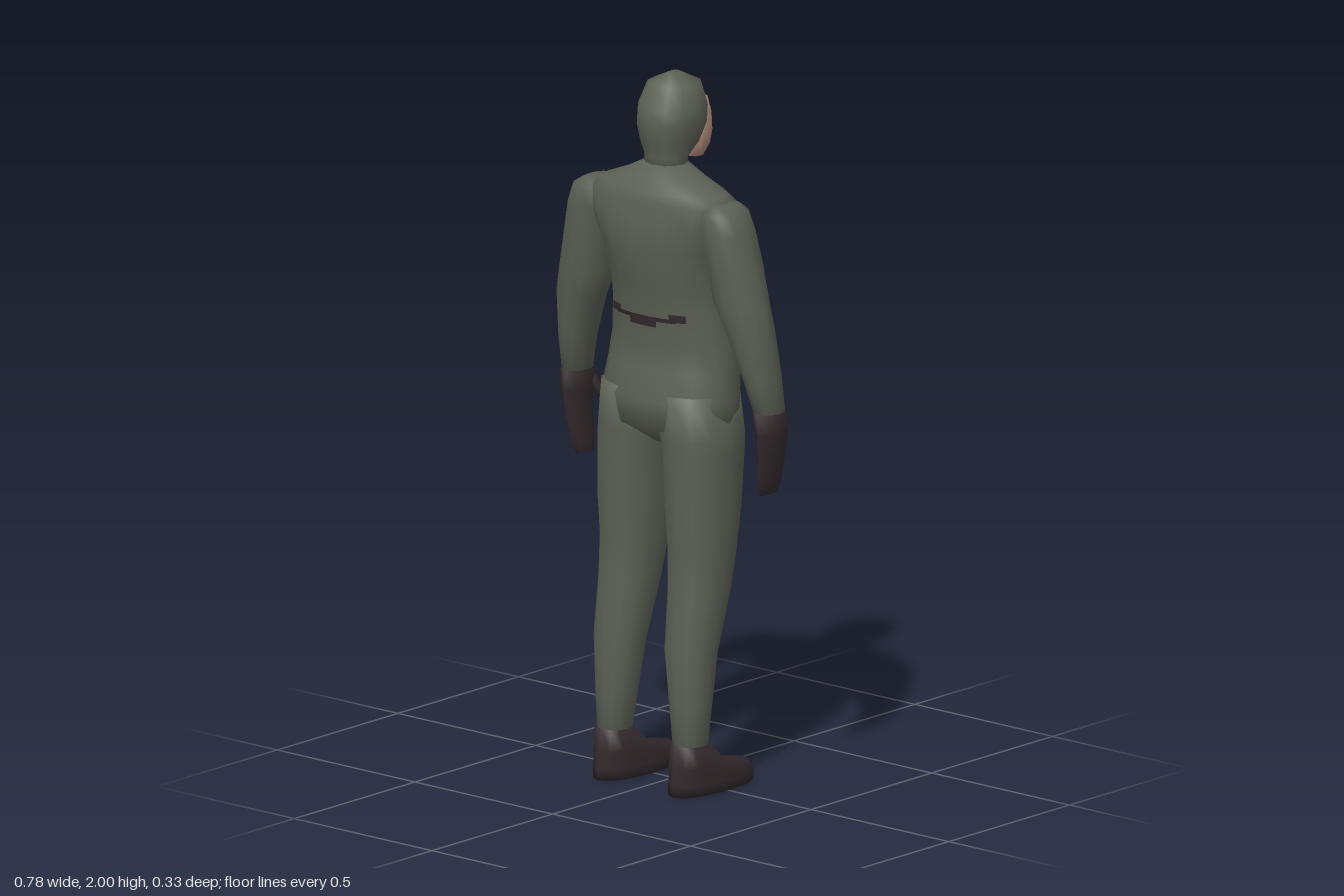
import * as THREE from 'three';

const suit = new THREE.MeshStandardMaterial({ color: 0x5c6054 });
suit.name = 'suit grey green';
const dark = new THREE.MeshStandardMaterial({ color: 0x332a2c });
dark.name = 'boot and glove dark';
const skin = new THREE.MeshStandardMaterial({ color: 0xb48f7d });
skin.name = 'skin';

// Loft through horizontal oval sections, listed from top to bottom.
// Row: [y, xMin, xMax, zBack, zFront, z of the widest point]
function loft(rows, { sides = 12, power = 0.92, from = 0, to = Math.PI * 2, caps = true } = {}) {
  const pos = [], index = [];
  const bend = (v) => Math.sign(v) * Math.abs(v) ** power;
  for (const [y, x0, x1, zB, zF, cz = (zB + zF) / 2] of rows) {
    for (let i = 0; i <= sides; i++) {
      const a = from + ((to - from) * i) / sides;
      const s = bend(Math.sin(a));
      pos.push((x0 + x1) / 2 + ((x1 - x0) / 2) * bend(Math.cos(a)), y, cz + s * (s > 0 ? zB - cz : cz - zF));
    }
  }
  // A closed ring reuses its first point so the normals stay smooth.
  const n = sides + 1;
  const id = (r, i) => r * n + (caps ? i % sides : i);
  for (let r = 0; r < rows.length - 1; r++) {
    for (let i = 0; i < sides; i++) {
      index.push(id(r, i), id(r, i + 1), id(r + 1, i), id(r, i + 1), id(r + 1, i + 1), id(r + 1, i));
    }
  }
  if (caps) {
    for (const r of [0, rows.length - 1]) {
      const [y, x0, x1, zB, zF] = rows[r];
      const c = pos.length / 3;
      pos.push((x0 + x1) / 2, y, (zB + zF) / 2);
      for (let i = 0; i < sides; i++) {
        if (r === 0) index.push(c, id(r, i + 1), id(r, i));
        else index.push(c, id(r, i), id(r, i + 1));
      }
    }
  }
  const g = new THREE.BufferGeometry();
  g.setAttribute('position', new THREE.Float32BufferAttribute(pos, 3));
  g.setIndex(index);
  g.computeVertexNormals();
  return g;
}

// Symmetric section: [y, half width, zBack, zFront, widest z]
const centred = (rows) => rows.map(([y, w, ...z]) => [y, -w, w, ...z]);
// The same limb on the other side of the body
const sided = (rows, s) => rows.map(([y, a, b, ...z]) => (s > 0 ? [y, a, b, ...z] : [y, -b, -a, ...z]));

const torsoRows = centred([
  [1.755, 0.062, 0.08, -0.022, 0.03],
  [1.72, 0.13, 0.115, -0.045, 0.035],
  [1.69, 0.205, 0.142, -0.065, 0.04],
  [1.66, 0.25, 0.148, -0.085, 0.04],
  [1.6, 0.235, 0.158, -0.115, 0.04],
  [1.53, 0.2, 0.165, -0.15, 0.025],
  [1.42, 0.19, 0.136, -0.16, 0],
  [1.35, 0.192, 0.126, -0.165, -0.01],
  [1.25, 0.2, 0.112, -0.155, -0.01],
  [1.18, 0.207, 0.118, -0.143, 0],
  [1.1, 0.215, 0.145, -0.13, 0.01],
  [1.02, 0.212, 0.135, -0.115, 0.01],
  [0.965, 0.06, 0.06, -0.05],
]);

const headRows = centred([
  [2.0, 0.012, 0.015, -0.022],
  [1.972, 0.072, 0.07, -0.078],
  [1.91, 0.092, 0.103, -0.096, 0],
  [1.865, 0.092, 0.11, -0.09, 0],
  [1.81, 0.078, 0.099, -0.062, 0.01],
  [1.77, 0.063, 0.082, -0.022],
  [1.72, 0.066, 0.085, -0.025],
]);

const faceRows = centred([
  [1.925, 0.062, -0.02, -0.097, -0.06],
  [1.88, 0.073, -0.02, -0.108, -0.06],
  [1.83, 0.073, -0.03, -0.114, -0.06],
  [1.79, 0.062, -0.04, -0.111, -0.065],
  [1.752, 0.035, -0.05, -0.102, -0.075],
]);

const armRows = [
  [1.675, 0.2, 0.262, 0.1, 0.0],
  [1.657, 0.17, 0.292, 0.122, -0.02],
  [1.6, 0.17, 0.314, 0.126, -0.03],
  [1.5, 0.19, 0.337, 0.118, -0.038],
  [1.4, 0.2, 0.36, 0.108, -0.036],
  [1.33, 0.235, 0.375, 0.098, -0.036],
  [1.2, 0.285, 0.383, 0.073, -0.045],
  [1.09, 0.314, 0.386, 0.046, -0.05],
];

const gloveRows = [
  [1.1, 0.308, 0.389, 0.052, -0.055],
  [1.04, 0.32, 0.386, 0.052, -0.058],
  [0.97, 0.325, 0.372, 0.046, -0.06],
  [0.9, 0.322, 0.355, 0.036, -0.062],
  [0.862, 0.322, 0.342, 0.022, -0.055],
];

const thumbRows = [
  [1.075, 0.322, 0.352, -0.025, -0.06],
  [1.03, 0.31, 0.336, -0.045, -0.078],
  [0.995, 0.302, 0.318, -0.06, -0.082],
];

const legRows = [
  [1.12, 0.005, 0.205, 0.135, -0.11],
  [1.0, 0.01, 0.217, 0.137, -0.12],
  [0.95, 0.018, 0.22, 0.133, -0.115],
  [0.8, 0.025, 0.219, 0.131, -0.1],
  [0.68, 0.033, 0.213, 0.122, -0.08],
  [0.57, 0.042, 0.209, 0.126, -0.055],
  [0.4, 0.056, 0.201, 0.146, 0.0],
  [0.25, 0.076, 0.192, 0.141, 0.022],
  [0.12, 0.091, 0.184, 0.135, 0.04],
];

const bootRows = [
  [0.14, 0.086, 0.189, 0.143, 0.034],
  [0.08, 0.078, 0.196, 0.152, -0.03, 0.06],
  [0.058, 0.075, 0.199, 0.156, -0.135, 0],
  [0.03, 0.073, 0.2, 0.16, -0.155, -0.01],
  [0, 0.073, 0.2, 0.16, -0.155, -0.01],
];

export function createModel() {
  const model = new THREE.Group();
  model.name = 'standingFigure';
  const add = (name, geometry, material, parent = model) => {
    const mesh = new THREE.Mesh(geometry, material);
    mesh.name = name;
    parent.add(mesh);
    return mesh;
  };

  add('torso', loft(torsoRows, { sides: 16 }), suit);
  add('hood', loft(headRows), suit);
  add('face', loft(faceRows), skin);
  const nose = add('nose', new THREE.ConeGeometry(0.025, 0.075, 4), skin);
  nose.position.set(0, 1.87, -0.109);

  // Limbs
  for (const [side, s] of [['left', 1], ['right', -1]]) {
    const arm = new THREE.Group();
    arm.name = side + 'Arm';
    add('sleeve', loft(sided(armRows, s)), suit, arm);
    add('glove', loft(sided(gloveRows, s), { sides: 8 }), dark, arm);
    add('thumb', loft(sided(thumbRows, s), { sides: 6 }), dark, arm);
    const leg = new THREE.Group();
    leg.name = side + 'Leg';
    add('trouserLeg', loft(sided(legRows, s)), suit, leg);
    add('boot', loft(sided(bootRows, s)), dark, leg);
    model.add(arm, leg);
  }

  // Thin dark waist patches lying on the suit
  const patch = (name, top, bottom, from, to) => {
    const rows = centred([[top, 0.196, 0.13, -0.168, -0.01], [bottom, 0.199, 0.127, -0.168, -0.01]]);
    const rad = Math.PI / 180;
    add(name, loft(rows, { sides: 8, from: from * rad, to: to * rad, caps: false }), dark);
  };
  patch('backBeltMiddle', 1.335, 1.308, 78, 102);
  patch('backBeltLeft', 1.35, 1.328, 50, 66);
  patch('backBeltRight', 1.35, 1.328, 114, 130);
  patch('backBeltStrip', 1.337, 1.325, 60, 120);
  patch('leftBelt', 1.352, 1.335, -56, -12);
  patch('rightBelt', 1.352, 1.335, 192, 236);
  return model;
}
